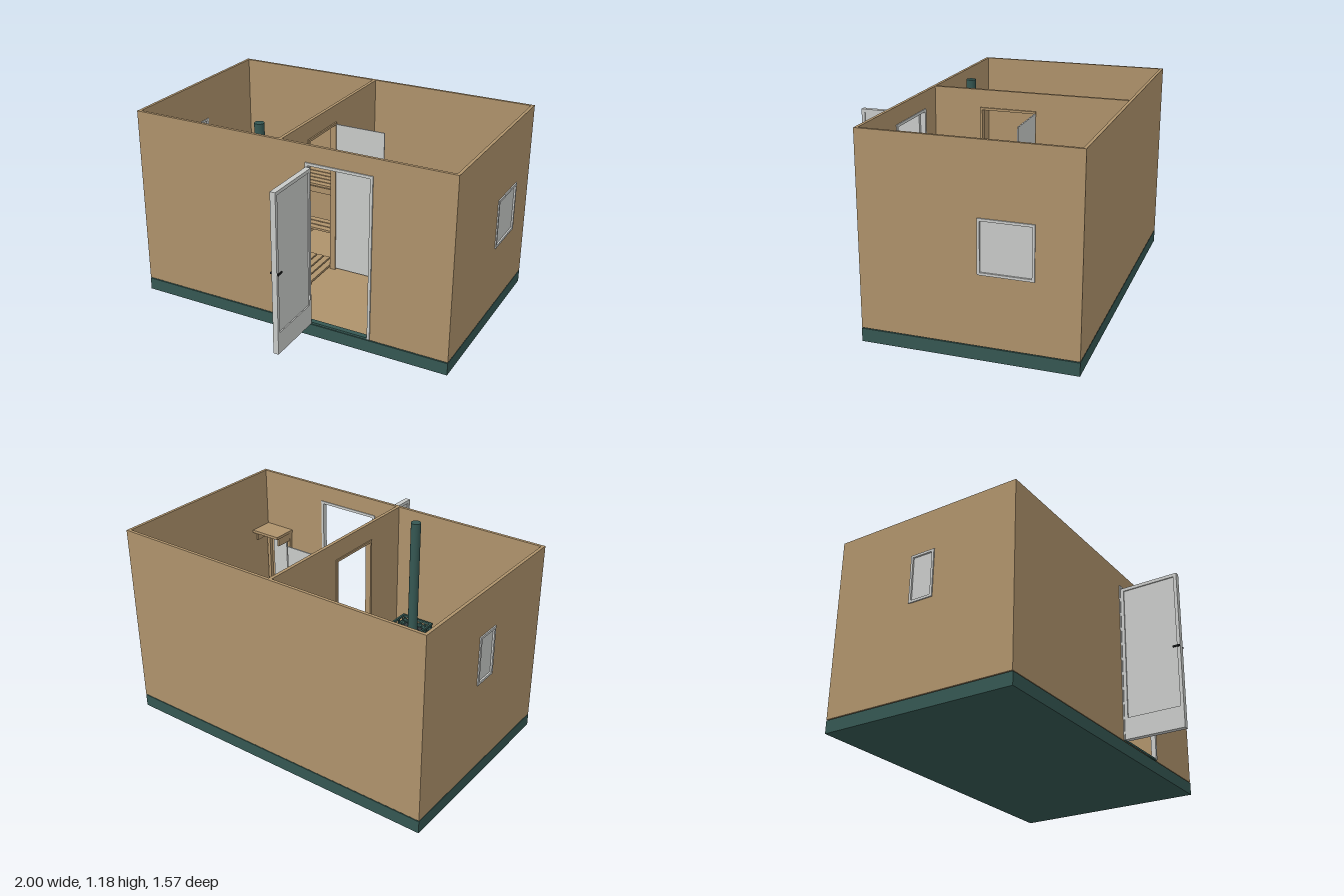
import * as THREE from 'three';

const mat = (name, color) => Object.assign(new THREE.MeshStandardMaterial({ color }), { name });

export function createModel() {
  const wood = mat('wood', 0xae926b), green = mat('darkGreen', 0x355752), grey = mat('lightGrey', 0xc8cac8),
    white = mat('white', 0xe2e3e4), iron = mat('iron', 0x343a3b), black = mat('black', 0x1c1f20);
  const root = new THREE.Group();
  root.name = 'saunaCabin';

  const add = (name, geo, m, x = 0, y = 0, z = 0, parent = root) => {
    const mesh = new THREE.Mesh(geo, m);
    mesh.name = name;
    mesh.position.set(x, y, z);
    parent.add(mesh);
    return mesh;
  };
  // Box given by its bounds
  const box = (name, m, x0, x1, y0, y1, z0, z1) =>
    add(name, new THREE.BoxGeometry(x1 - x0, y1 - y0, z1 - z0), m, (x0 + x1) / 2, (y0 + y1) / 2, (z0 + z1) / 2);
  const cyl = (name, m, x, y0, y1, z, r0, r1 = r0, n = 24) =>
    add(name, new THREE.CylinderGeometry(r1, r0, y1 - y0, n), m, x, (y0 + y1) / 2, z);
  // Four-sided frame; alongZ puts it in a side wall. a = span, d = depth range
  const frame = (name, m, alongZ, a0, a1, y0, y1, w, d0, d1) => {
    const bar = (p, q, r, s) => alongZ ? box(name, m, d0, d1, r, s, p, q) : box(name, m, p, q, r, s, d0, d1);
    bar(a0, a0 + w, y0, y1);
    bar(a1 - w, a1, y0, y1);
    bar(a0 + w, a1 - w, y1 - w, y1);
    bar(a0 + w, a1 - w, y0, y0 + w);
  };
  // Wall with one optional opening [u0, u1, y0, y1]
  const wall = (name, alongZ, u0, u1, d, t, hole) => {
    const rect = (P, a, b, c, e) => {
      const p = new P();
      p.moveTo(a, c); p.lineTo(b, c); p.lineTo(b, e); p.lineTo(a, e); p.closePath();
      return p;
    };
    const s = rect(THREE.Shape, u0, u1, 0.08, 1.175);
    if (hole) s.holes.push(rect(THREE.Path, ...hole));
    const mesh = add(name, new THREE.ExtrudeGeometry(s, { depth: t, bevelEnabled: false }), wood);
    if (alongZ) { mesh.rotation.y = -Math.PI / 2; mesh.position.x = d + t; } else mesh.position.z = d;
  };

  // Base, floor and walls
  box('base', green, -0.993, 0.993, 0, 0.075, -0.785, 0.41);
  box('floor', wood, -0.98, 0.98, 0.075, 0.086, -0.77, 0.395);
  wall('frontWall', false, -0.993, 0.993, 0.39, 0.018, [0.12, 0.525, 0.0801, 1.075]);
  wall('backWall', false, -0.993, 0.993, -0.785, 0.018);
  wall('leftWall', true, -0.767, 0.39, 0.975, 0.018, [-0.54, -0.25, 0.48, 0.77]);
  wall('rightWall', true, -0.767, 0.39, -0.993, 0.018, [-0.26, -0.115, 0.635, 0.915]);
  wall('partition', true, -0.767, 0.39, -0.053, 0.02, [-0.23, 0.105, 0.0801, 1.07]);

  // Windows
  frame('windowFrame', grey, true, -0.545, -0.245, 0.475, 0.775, 0.014, 0.97, 1);
  box('windowPane', grey, 0.982, 0.99, 0.485, 0.765, -0.535, -0.255);
  frame('windowFrame', grey, true, -0.265, -0.11, 0.63, 0.92, 0.014, -1, -0.97);
  box('windowPane', grey, -0.99, -0.982, 0.64, 0.91, -0.255, -0.12);

  // Entrance: frame, threshold and open door
  for (const x of [0.12, 0.509]) box('entranceJamb', grey, x, x + 0.016, 0.086, 1.075, 0.385, 0.415);
  box('entranceLintel', grey, 0.136, 0.509, 1.059, 1.075, 0.385, 0.415);
  box('threshold', green, 0.13, 0.52, 0.08, 0.092, 0.38, 0.412);
  for (const z of [0.415, 0.762]) box('doorStile', grey, 0.125, 0.157, 0.085, 1.05, z, z + 0.02);
  box('doorTopRail', grey, 0.125, 0.157, 1.03, 1.05, 0.435, 0.762);
  box('doorBottomRail', grey, 0.125, 0.157, 0.085, 0.215, 0.435, 0.762);
  box('doorPanel', grey, 0.132, 0.15, 0.215, 1.03, 0.435, 0.762);
  for (const y of [0.25, 0.88]) box('doorHinge', grey, 0.155, 0.162, y, y + 0.03, 0.425, 0.435);
  box('doorSpindle', black, 0.117, 0.165, 0.575, 0.583, 0.77, 0.778);
  for (const x of [0.115, 0.161]) box('doorHandle', black, x, x + 0.006, 0.574, 0.584, 0.74, 0.782);

  // Inner doorway trim and open pane door
  for (const z of [-0.23, 0.093]) box('innerJamb', wood, -0.06, -0.024, 0.086, 1.07, z, z + 0.014);
  box('innerLintel', wood, -0.06, -0.024, 1.056, 1.07, -0.216, 0.093);
  box('innerDoor', grey, -0.024, 0.29, 0.095, 1.058, -0.231, -0.223);
  for (const z of [-0.247, -0.217]) box('innerDoorHandle', wood, 0.256, 0.274, 0.54, 0.62, z, z + 0.01);
  for (const y of [0.555, 0.6]) box('handlePin', wood, 0.262, 0.268, y, y + 0.006, -0.24, -0.21);

  // Slatted platform: slats along z or x, with bearers and legs below
  const slats = (name, alongZ, x0, x1, z0, z1, y, n, legH = y - 0.086, t = 0.014) => {
    const [a, b] = alongZ ? [x0, x1] : [z0, z1], p = (b - a) / n, g = 0.009;
    for (let i = 0; i < n; i++) {
      const s = a + i * p + g / 2, e = s + p - g;
      alongZ ? box(name + 'Slat', wood, s, e, y - t, y, z0, z1) : box(name + 'Slat', wood, x0, x1, y - t, y, s, e);
    }
    const h = Math.min(0.035, legH - t), w = 0.022, m = 0.012;
    for (const k of [0, 0.5, 1]) {
      if (alongZ) {
        const c = z0 + m + k * (z1 - z0 - 2 * m - w);
        box(name + 'Bearer', wood, x0 + 0.004, x1 - 0.004, y - t - h, y - t, c, c + w);
      } else {
        const c = x0 + m + k * (x1 - x0 - 2 * m - w);
        box(name + 'Bearer', wood, c, c + w, y - t - h, y - t, z0 + 0.004, z1 - 0.004);
      }
    }
    if (legH > 0.06) for (const x of [x0 + m, x1 - m - w]) for (const z of [z0 + m, z1 - m - w])
      box(name + 'Leg', wood, x, x + w, y - legH, y - t - h, z, z + w);
  };

  // Sauna benches and floor grate
  slats('upperBench', true, -0.972, -0.65, -0.765, 0.385, 0.52, 7);
  slats('upperBackBench', false, -0.65, -0.056, -0.765, -0.47, 0.52, 6);
  slats('lowerBackBench', false, -0.5, -0.056, -0.465, -0.315, 0.29, 3);
  slats('cornerStep', true, -0.65, -0.505, -0.465, -0.24, 0.29, 3);
  slats('lowerBench', true, -0.65, -0.5, -0.235, 0.385, 0.29, 3);
  slats('floorGrate', true, -0.49, -0.058, -0.31, 0.38, 0.112, 9, 0.026);
  box('upperBenchFascia', wood, -0.65, -0.056, 0.465, 0.505, -0.474, -0.466);

  // Bucket with hoop handle and ladle
  const bucket = new THREE.LatheGeometry([[0, 0], [0.047, 0], [0.058, 0.09], [0.052, 0.09], [0.043, 0.012], [0, 0.012]]
    .map(p => new THREE.Vector2(...p)), 24);
  add('bucket', bucket, green, -0.815, 0.52, -0.445);
  add('bucketHandle', new THREE.TorusGeometry(0.055, 0.004, 8, 24, Math.PI), iron, -0.815, 0.605, -0.445);
  const ladle = cyl('ladle', wood, -0.79, 0.54, 0.68, -0.44, 0.005);
  ladle.rotation.z = -0.6;

  // Stove: firebox, cage, stones and chimney
  box('stoveBody', iron, -0.295, -0.15, 0.112, 0.46, 0.165, 0.33);
  box('fireTunnel', iron, -0.15, -0.03, 0.15, 0.34, 0.185, 0.31);
  for (const y of [0.12, 0.3, 0.48]) {
    frameFlat(y);
  }
  function frameFlat(y) {
    for (const x of [-0.33, -0.132]) box('cageRail', green, x, x + 0.012, y, y + 0.014, 0.13, 0.365);
    for (const z of [0.13, 0.353]) box('cageRail', green, -0.318, -0.132, y, y + 0.014, z, z + 0.012);
  }
  for (let i = 0; i < 6; i++) {
    const x = -0.326 + i * 0.0385, z = 0.134 + i * 0.0435;
    for (const zz of [0.136, 0.359]) cyl('cageBar', green, x, 0.1, 0.494, zz, 0.005, 0.005, 8);
    for (const xx of [-0.324, -0.126]) cyl('cageBar', green, xx, 0.1, 0.494, z, 0.005, 0.005, 8);
  }
  const stone = new THREE.IcosahedronGeometry(0.022, 0);
  for (let i = 0; i < 20; i++) {
    const k = Math.floor(i / 5), j = i % 5, out = 0.034;
    const [x, z] = [[-0.31 + j * out, 0.152], [-0.15, 0.152 + j * 0.04], [-0.15 - j * out, 0.345], [-0.31, 0.345 - j * 0.04]][k];
    for (const y of [0.2, 0.36, 0.46]) add('stone', stone, green, x, y, z).rotation.set(i, i * 2 + y * 9, i * 3);
  }
  cyl('chimney', green, -0.262, 0.46, 1.18, 0.25, 0.029);
  cyl('chimneyCollar', iron, -0.262, 0.455, 0.48, 0.25, 0.036);
  box('stoveDoor', iron, -0.033, -0.018, 0.14, 0.35, 0.18, 0.315);
  box('stoveDoorHandle', black, -0.018, 0, 0.23, 0.27, 0.195, 0.205);

  // Firewood rack
  for (const x of [-0.02, 0.062]) for (const z of [0.325, 0.379])
    box('rackPost', black, x, x + 0.008, 0.086, 0.3, z, z + 0.008);
  for (const y of [0.095, 0.292]) for (const z of [0.325, 0.379]) box('rackRail', black, -0.02, 0.07, y, y + 0.008, z, z + 0.008);
  for (let r = 0; r < 6; r++) for (let i = 0; i < 3; i++)
    add('log', new THREE.CylinderGeometry(0.012, 0.012, 0.045, 7), wood, i * 0.025, 0.117 + r * 0.025, 0.356).rotation.x = Math.PI / 2;

  // Low cabinet behind the partition
  box('cabinetTop', wood, -0.033, 0.12, 0.54, 0.556, -0.767, -0.365);
  for (const z of [-0.765, -0.38]) box('cabinetSide', wood, -0.03, 0.115, 0.086, 0.54, z, z + 0.014);
  for (const y of [0.13, 0.33]) box('cabinetShelf', wood, -0.03, 0.115, y, y + 0.012, -0.751, -0.38);

  // Rest area: two benches with cushions and a table
  slats('seat', false, 0.42, 0.972, -0.765, -0.59, 0.305, 4);
  slats('seat', false, 0.42, 0.972, -0.265, -0.09, 0.305, 4);
  slats('table', false, 0.42, 0.972, -0.565, -0.29, 0.455, 4);
  for (const z of [-0.68, -0.18]) {
    const c = new THREE.SphereGeometry(1, 28, 16), p = c.attributes.position;
    const sq = v => Math.sign(v) * Math.pow(Math.abs(v), 0.5);
    for (let i = 0; i < p.count; i++) p.setXYZ(i, sq(p.getX(i)) * 0.08, p.getY(i) * 0.034, sq(p.getZ(i)) * 0.062);
    c.computeVertexNormals();
    add('cushion', c, white, 0.53, 0.338, z);
  }
  cyl('tray', wood, 0.695, 0.455, 0.465, -0.43, 0.103, 0.103, 40);
  const pot = [[0, 0], [0.024, 0], [0.036, 0.02], [0.03, 0.042], [0.012, 0.052], [0.008, 0.062], [0, 0.064]];
  add('teapot', new THREE.LatheGeometry(pot.map(p => new THREE.Vector2(...p)), 24), white, 0.695, 0.465, -0.43);
  cyl('teapotSpout', white, 0.736, 0.482, 0.515, -0.43, 0.007, 0.004, 10).rotation.z = -0.7;
  for (const [x, z] of [[0.635, -0.39], [0.745, -0.385]]) cyl('cup', white, x, 0.465, 0.488, z, 0.01, 0.014, 16);

  // Coat stand with mirror
  box('coatShelf', wood, 0.77, 0.972, 0.795, 0.812, 0.235, 0.388);
  for (const x of [0.775, 0.945]) box('coatPost', wood, x, x + 0.022, 0.086, 0.795, 0.366, 0.388);
  for (const y of [0.72, 0.3]) box('coatRail', wood, 0.797, 0.945, y, y + 0.03, 0.374, 0.388);
  box('mirror', grey, 0.815, 0.925, 0.34, 0.71, 0.38, 0.388);
  for (const x of [0.778, 0.952]) box('coatBracket', wood, x, x + 0.012, 0.74, 0.795, 0.26, 0.366);
  return root;
}
